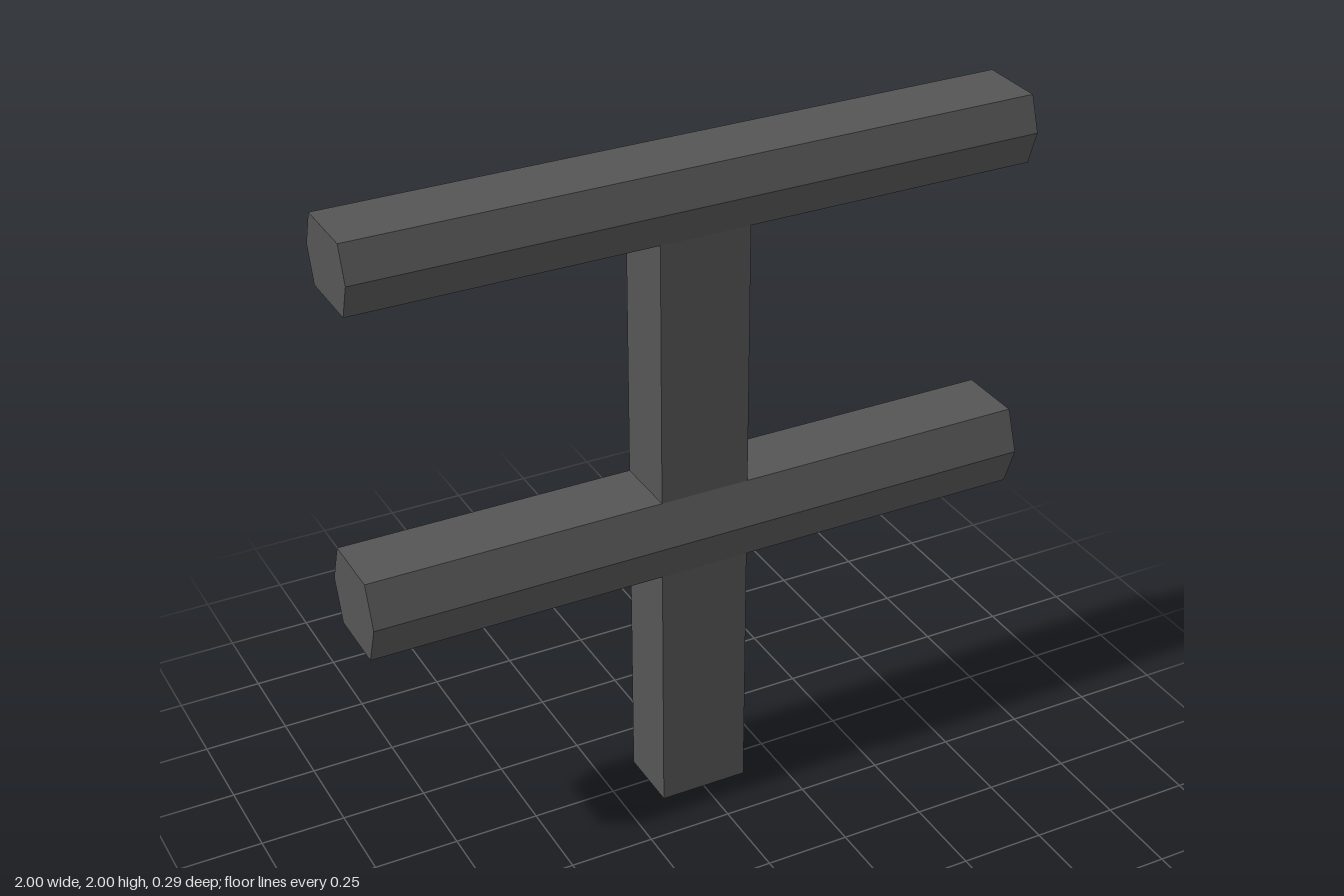
import * as THREE from 'three';

const darkGrey = new THREE.MeshStandardMaterial({ color: 0x555555 });
darkGrey.name = 'darkGrey';

// Six-sided bar running along x, widest at mid height
function crossbar(name, y, halfHeight, halfDepth) {
  const section = new THREE.Shape([
    [-0.1, -halfHeight], [0.1, -halfHeight], [halfDepth, 0],
    [0.1, halfHeight], [-0.1, halfHeight], [-halfDepth, 0],
  ].map(([x, h]) => new THREE.Vector2(x, h)));
  const geometry = new THREE.ExtrudeGeometry(section, { depth: 2, bevelEnabled: false });
  geometry.translate(0, 0, -1).rotateY(Math.PI / 2);
  const bar = new THREE.Mesh(geometry, darkGrey);
  bar.name = name;
  bar.position.y = y;
  return bar;
}

// Upright section between two heights
function post(name, bottom, top) {
  const mesh = new THREE.Mesh(new THREE.BoxGeometry(0.266, top - bottom, 0.2), darkGrey);
  mesh.name = name;
  mesh.position.y = (bottom + top) / 2;
  return mesh;
}

export function createModel() {
  const group = new THREE.Group();
  group.name = 'doubleCrossbarPost';
  group.add(
    post('lowerPost', 0, 0.78),
    crossbar('lowerCrossbar', 0.9, 0.12, 0.145),
    post('upperPost', 1.02, 1.8),
    crossbar('upperCrossbar', 1.9, 0.1, 0.135),
  );
  return group;
}
